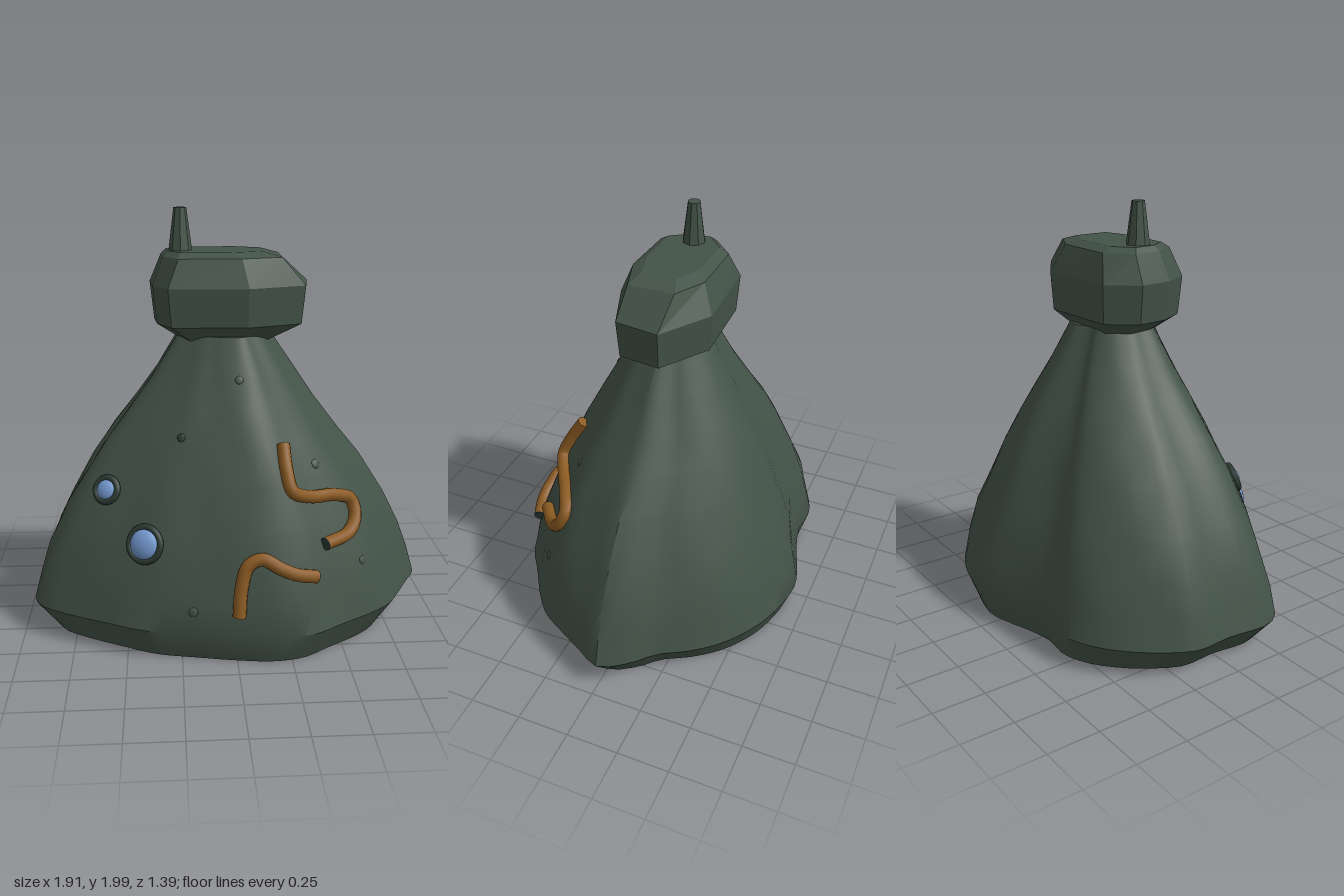
import * as THREE from 'three';
import { toCreasedNormals } from 'three/addons/utils/BufferGeometryUtils.js';

const mat = (name, color) => {
  const m = new THREE.MeshStandardMaterial({ color });
  m.name = name;
  return m;
};

// Closed skin over equal-length rings of [x, y, z], listed bottom to top
function loft(rings, crease) {
  const n = rings[0].length, pos = rings.flat(2), idx = [];
  for (let r = 0; r < rings.length - 1; r++) {
    for (let i = 0; i < n; i++) {
      const j = (i + 1) % n, a = r * n + i, b = r * n + j;
      idx.push(a, b, b + n, a, b + n, a + n);
    }
  }
  [0, rings.length - 1].forEach((r, top) => {
    const c = pos.length / 3;
    for (let k = 0; k < 3; k++) pos.push(rings[r].reduce((s, p) => s + p[k], 0) / n);
    for (let i = 0; i < n; i++) {
      const a = r * n + i, b = r * n + (i + 1) % n;
      if (top) idx.push(c, a, b); else idx.push(c, b, a);
    }
  });
  const g = new THREE.BufferGeometry();
  g.setAttribute('position', new THREE.Float32BufferAttribute(pos, 3));
  g.setIndex(idx);
  return toCreasedNormals(g, crease);
}

export function createModel() {
  const green = mat('mossy green', 0x435348);
  const dark = mat('dark green', 0x2c3a34);
  const orange = mat('rusty orange', 0x8a5a22);
  const blue = mat('window blue', 0x7399cf);
  const model = new THREE.Group();
  const add = (name, geo, material, parent = model) => {
    const m = new THREE.Mesh(geo, material);
    m.name = name;
    parent.add(m);
    return m;
  };

  // Rocky mound: one lumpy outline scaled up the height
  const outline = new THREE.CatmullRomCurve3([
    [0.95, 0], [0.88, -0.13], [0.77, -0.24], [0.7, -0.36], [0.58, -0.5], [0.4, -0.62], [0.22, -0.68],
    [0.08, -0.7], [-0.05, -0.67], [-0.2, -0.62], [-0.35, -0.59], [-0.5, -0.6], [-0.65, -0.54],
    [-0.78, -0.43], [-0.88, -0.3], [-0.94, -0.18], [-0.935, 0], [-0.955, 0.2], [-0.92, 0.29],
    [-0.8, 0.38], [-0.6, 0.49], [-0.42, 0.58], [-0.2, 0.63], [0, 0.67], [0.2, 0.69], [0.35, 0.66],
    [0.5, 0.56], [0.65, 0.46], [0.75, 0.37], [0.82, 0.25], [0.9, 0.1],
  ].map(([x, z]) => new THREE.Vector3(x, 0, z)), true).getSpacedPoints(80).slice(0, 80);
  // height, x scale, z scale, x shift
  const levels = [
    [0.01, 0.88, 0.93, 0], [0.15, 1, 1, 0], [0.29, 0.96, 0.955, 0], [0.43, 0.91, 0.91, 0],
    [0.6, 0.82, 0.82, -0.01], [0.8, 0.69, 0.71, -0.015], [0.95, 0.575, 0.615, -0.02],
    [1.1, 0.455, 0.51, -0.02], [1.25, 0.345, 0.395, -0.02], [1.42, 0.23, 0.275, -0.025],
  ];
  const moundRings = levels.map(([y, sx, sz, dx], r) => outline.map((p, i) => {
    const bump = r > 1 ? 1 + 0.008 * Math.sin(i * 0.95 + r * 1.7) : 1;
    return [p.x * sx * bump + dx, y, p.z * sz * bump];
  }));
  const mound = add('mound', loft(moundRings, 0.6), green);

  // Faceted boulder on top
  const wide = [[0.38, -0.08], [0.14, -0.235], [-0.27, -0.22], [-0.375, -0.08],
    [-0.36, 0.08], [-0.29, 0.21], [0.08, 0.23], [0.35, 0.13]];
  const lid = [[0.24, -0.1], [0.09, -0.18], [-0.21, -0.18], [-0.32, -0.08],
    [-0.31, 0.06], [-0.24, 0.17], [0.05, 0.18], [0.24, 0.12]];
  const ring = (pts, y, s, sz = s, dx = 0) => pts.map(([x, z]) => [x * s + dx, y, z * sz]);
  add('boulder', loft([
    ring(wide, 1.375, 0.5, 0.55, -0.02), ring(wide, 1.47, 0.95), ring(wide, 1.65, 1),
    ring(lid, 1.78, 1), ring(lid, 1.805, 0.8, 0.75, -0.04),
  ], 0.15), green);

  // Chimney spike
  const spike = add('spike', toCreasedNormals(new THREE.CylinderGeometry(0.03, 0.058, 0.22, 8), 0.3), green);
  spike.position.set(-0.228, 1.89, 0);

  // Find the front surface of the mound at (x, y)
  const ray = new THREE.Raycaster();
  const forward = new THREE.Vector3(0, 0, 1);
  const hit = (x, y) => {
    ray.set(new THREE.Vector3(x, y, 3), new THREE.Vector3(0, 0, -1));
    const h = ray.intersectObject(mound)[0];
    return { point: h.point, normal: h.face.normal };
  };
  const seat = (obj, x, y, lift) => {
    const { point, normal } = hit(x, y);
    obj.position.copy(point).addScaledVector(normal, lift);
    obj.quaternion.setFromUnitVectors(forward, normal);
  };

  // Round windows with raised rims
  for (const [x, y, r] of [[-0.585, 0.73, 0.05], [-0.41, 0.53, 0.072]]) {
    const porthole = new THREE.Group();
    porthole.name = 'porthole';
    add('rim', new THREE.TorusGeometry(r + 0.006, 0.016, 8, 24), dark, porthole);
    const pane = add('pane', new THREE.SphereGeometry(r, 20, 12), blue, porthole);
    pane.scale.z = 0.5;
    seat(porthole, x, y, 0.008);
    model.add(porthole);
  }

  // Bent pipes lying on the slope, with dark end plugs
  const pipes = [
    [[0.215, 0.955], [0.225, 0.85], [0.25, 0.765], [0.33, 0.725], [0.46, 0.705], [0.545, 0.665],
      [0.56, 0.59], [0.52, 0.535], [0.4, 0.52]],
    [[0.007, 0.245], [0.018, 0.37], [0.05, 0.465], [0.11, 0.495], [0.19, 0.455], [0.26, 0.425], [0.35, 0.4]],
  ];
  for (const path of pipes) {
    const pts = path.map(([x, y]) => {
      const { point, normal } = hit(x, y);
      return point.clone().addScaledVector(normal, 0.016);
    });
    const curve = new THREE.CatmullRomCurve3(pts);
    add('pipe', new THREE.TubeGeometry(curve, 48, 0.031, 10), orange);
    for (const t of [0, 1]) {
      const plug = add('pipePlug', new THREE.CylinderGeometry(0.03, 0.03, 0.008, 10), t ? dark : orange);
      plug.position.copy(curve.getPoint(t));
      plug.quaternion.setFromUnitVectors(new THREE.Vector3(0, 1, 0), curve.getTangent(t));
    }
  }

  // Small pits and pebbles on the front
  for (const [x, y, r, m] of [[-0.24, 0.99, 0.02, dark], [0.03, 1.24, 0.02, green],
    [0.38, 0.85, 0.022, green], [0.6, 0.4, 0.02, green], [-0.2, 0.25, 0.022, green]]) {
    const pit = add('pit', new THREE.SphereGeometry(r, 10, 6), m);
    pit.scale.z = 0.3;
    seat(pit, x, y, 0);
  }
  return model;
}
